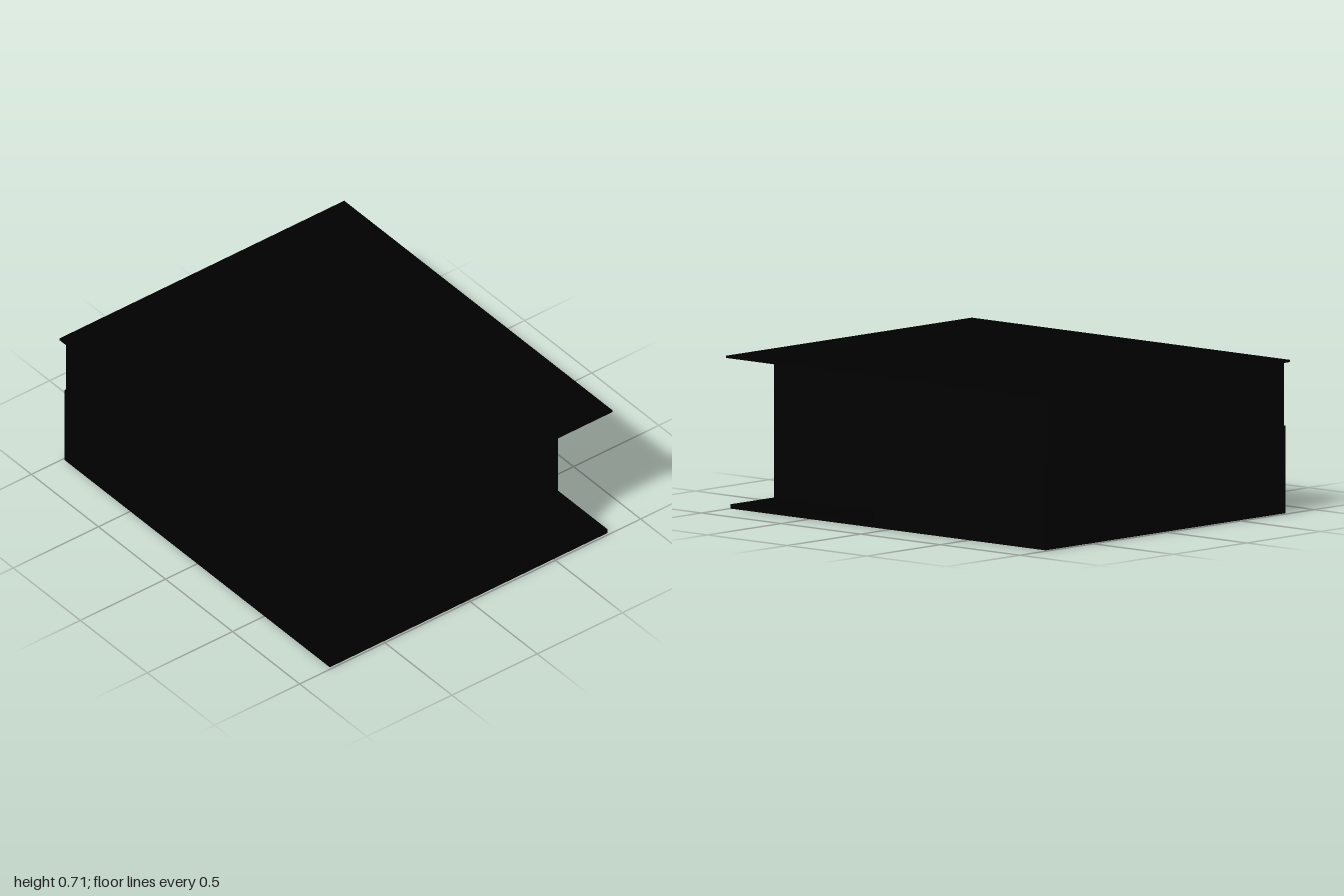
import * as THREE from 'three';

const material = (name, color) => {
  const m = new THREE.MeshStandardMaterial({ color });
  m.name = name;
  return m;
};

export function createModel() {
  const black = material('black', 0x000000);
  const darkRed = material('dark red', 0x1c0000);
  const model = new THREE.Group();
  model.name = 'auditorium';

  // box given by its minimum and maximum corners
  function block(name, mat, [x0, y0, z0], [x1, y1, z1]) {
    const mesh = new THREE.Mesh(new THREE.BoxGeometry(x1 - x0, y1 - y0, z1 - z0), mat);
    mesh.position.set((x0 + x1) / 2, (y0 + y1) / 2, (z0 + z1) / 2);
    mesh.name = name;
    model.add(mesh);
  }

  // the same box on both sides
  function pair(name, mat, [x0, y0, z0], [x1, y1, z1]) {
    block('left ' + name, mat, [x0, y0, z0], [x1, y1, z1]);
    block('right ' + name, mat, [-x1, y0, z0], [-x0, y1, z1]);
  }

  // floor slab and overhanging flat roof
  block('floor', black, [-0.815, 0.002, -0.99], [0.815, 0.022, 0.99]);
  block('roof', black, [-0.835, 0.705, -1], [0.835, 0.715, 1]);

  // wide rear hall
  const top = 0.706;
  pair('sideWall', black, [0.785, 0.02, -0.985], [0.805, top, 0.1]);
  block('backWall', black, [-0.805, 0.02, -0.99], [0.805, top, -0.97]);
  pair('alcoveWall', black, [0.53, 0.02, 0.08], [0.805, top, 0.1]);

  // narrow front hall between the two corner alcoves
  pair('frontSideWall', black, [0.51, 0.02, 0.08], [0.53, top, 0.98]);
  block('frontWall', black, [-0.53, 0.02, 0.96], [0.53, top, 0.98]);

  // thin rails across the alcove walls
  for (const y of [0.105, 0.238]) {
    pair('alcoveRail', black, [0.53, y, 0.1], [0.78, y + 0.004, 0.104]);
  }

  // stepped seating tiers, showing slightly past the side walls
  const tiers = 11;
  for (let i = 0; i < tiers; i++) {
    const front = 0.05 - i * 0.08;
    const back = i === tiers - 1 ? -0.99 : front - 0.08;
    block('tier' + (i + 1), black, [-0.815, 0.002, back], [0.815, 0.06 + i * 0.035, front]);
  }

  // low stage, its base showing under the floor
  block('stage', darkRed, [-0.48, 0, 0.52], [0.48, 0.1, 0.82]);

  return model;
}
